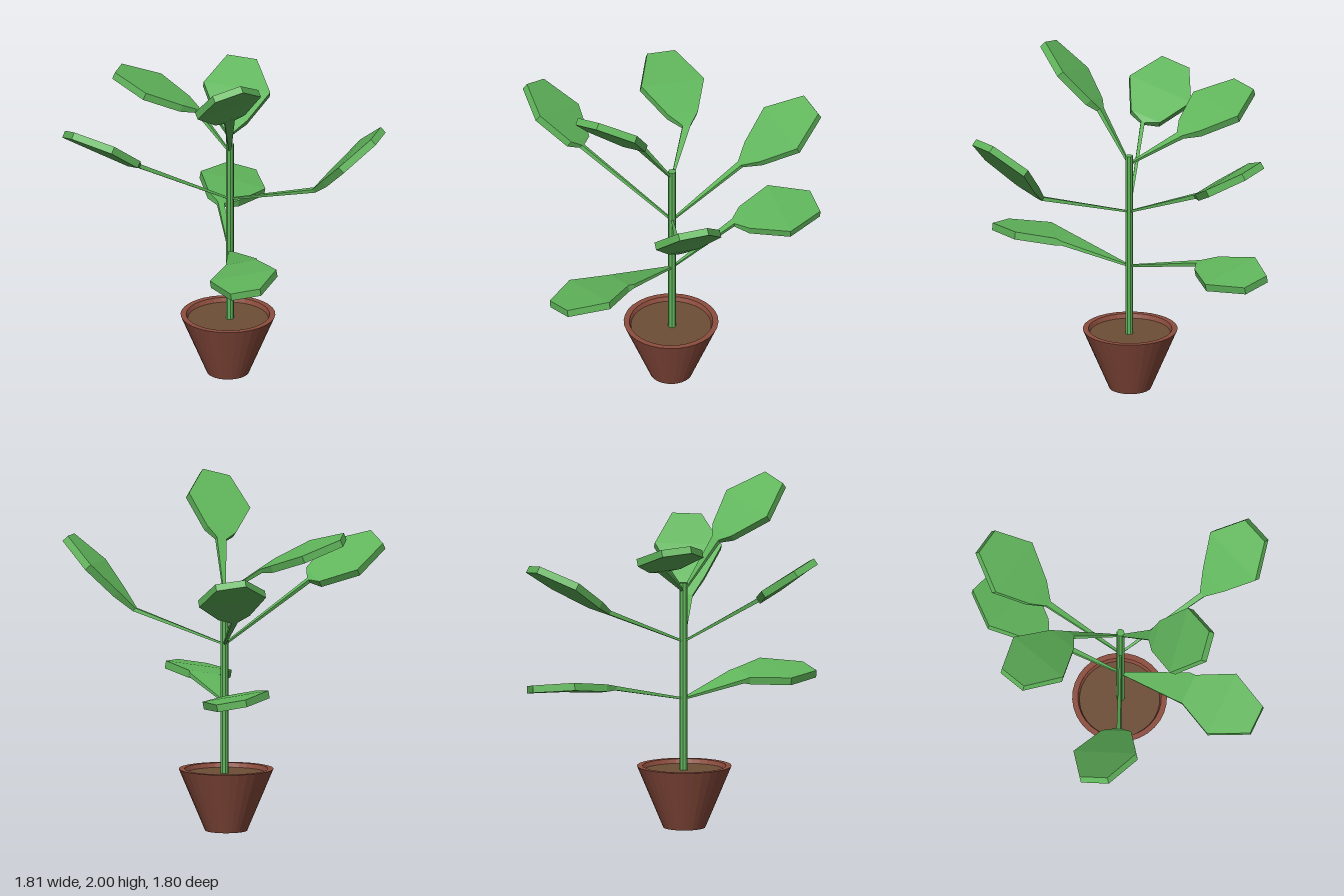
import * as THREE from 'three';

const mat = (name, color, extra = {}) => {
  const m = new THREE.MeshStandardMaterial({ color, flatShading: true, ...extra });
  m.name = name;
  return m;
};

const V = (p) => new THREE.Vector3(...p);
const STEM = { x: 0.08, z: 0.045 };

// Each leaf: height on the stem, neck of the blade, tip of the blade,
// direction across the blade, half width of the neck
const LEAVES = [
  { name: 'lowerFrontLeaf', y: 0.74, neck: [0.09, 0.83, 0.42], tip: [0.04, 0.835, 0.885], across: [0.37, 0.06, 0.04], neckWidth: 0.09 },
  { name: 'lowerBackLeaf', y: 0.74, neck: [0.1, 0.84, -0.41], tip: [0.29, 0.85, -0.87], across: [0.35, -0.07, 0.13], neckWidth: 0.02 },
  { name: 'middleBackLeaf', y: 1.07, neck: [0.15, 1.27, -0.42], tip: [0.29, 1.54, -0.85], across: [0.36, -0.04, 0.065], neckWidth: 0.018 },
  { name: 'middleRightLeaf', y: 1.07, neck: [-0.47, 1.39, 0.235], tip: [-0.88, 1.61, 0.233], across: [0.055, 0.13, 0.36], neckWidth: 0.012 },
  { name: 'middleLeftLeaf', y: 1.07, neck: [0.515, 1.24, 0.385], tip: [0.85, 1.64, 0.59], across: [0.17, 0, -0.36], neckWidth: 0.016 },
  { name: 'upperBackLeaf', y: 1.36, neck: [-0.07, 1.525, -0.205], tip: [-0.5, 1.71, -0.4], across: [0.15, -0.04, -0.36], neckWidth: 0.025 },
  { name: 'upperFrontLeaf', y: 1.36, neck: [0.045, 1.645, 0.245], tip: [-0.02, 1.965, 0.61], across: [0.37, 0.09, -0.04], neckWidth: 0.03 },
];

// Stalk and blade as one loft of flat rectangular cross-sections
function leafGeometry({ y, neck, tip, across, neckWidth }) {
  const N = V(neck), T = V(tip);
  const along = T.clone().sub(N).normalize();
  const side = V(across);
  side.addScaledVector(along, -side.dot(along)).normalize();
  const up = along.clone().cross(side);
  if (up.y < 0) { side.negate(); up.negate(); }

  const onBlade = (back, lift = 0) => T.clone().addScaledVector(along, -back).addScaledVector(up, lift);
  const sections = [
    { c: new THREE.Vector3(STEM.x, y, STEM.z), w: 0.006, h: 0.006 },
    { c: N, w: neckWidth, h: 0.012 },
    { c: onBlade(0.43), w: 0.09, h: 0.021 },
    { c: onBlade(0.22, 0.008), w: 0.192, h: 0.022 },
    { c: onBlade(0), w: 0.085, h: 0.021 },
  ];

  const corners = [[-1, -1], [1, -1], [1, 1], [-1, 1]];
  const pos = [], index = [];
  for (const { c, w, h } of sections) {
    for (const [i, j] of corners) {
      const p = c.clone().addScaledVector(side, i * w).addScaledVector(up, j * h);
      pos.push(p.x, p.y, p.z);
    }
  }
  const quad = (a, b, c, d) => index.push(a, b, c, a, c, d);
  for (let s = 0; s < sections.length - 1; s++) {
    for (let k = 0; k < 4; k++) {
      const a = s * 4 + k, b = s * 4 + (k + 1) % 4;
      quad(a, b, b + 4, a + 4);
    }
  }
  const last = (sections.length - 1) * 4;
  quad(3, 2, 1, 0);
  quad(last, last + 1, last + 2, last + 3);

  const geo = new THREE.BufferGeometry();
  geo.setAttribute('position', new THREE.Float32BufferAttribute(pos, 3));
  geo.setIndex(index);
  const flat = geo.toNonIndexed();
  flat.computeVertexNormals();
  return flat;
}

export function createModel() {
  const model = new THREE.Group();
  model.name = 'pottedPlant';
  const green = mat('leafGreen', 0x60b55b);
  const clay = mat('terracotta', 0x8c4d3e);
  const earth = mat('soilBrown', 0x6e4e36);

  const add = (name, geo, material, x = 0, y = 0, z = 0) => {
    const mesh = new THREE.Mesh(geo, material);
    mesh.name = name;
    mesh.position.set(x, y, z);
    model.add(mesh);
  };

  // Tapered pot with an open rim
  const profile = [[0, 0], [0.12, 0], [0.27, 0.355], [0.238, 0.355], [0.225, 0.32]]
    .map(([r, h]) => new THREE.Vector2(r, h));
  add('pot', new THREE.LatheGeometry(profile, 32), clay, 0.07, 0, 0.043);

  // Soil disc just below the rim
  add('soil', new THREE.CylinderGeometry(0.229, 0.225, 0.01, 32), earth, 0.07, 0.325, 0.043);

  // Straight stem
  add('stem', new THREE.CylinderGeometry(0.023, 0.023, 1.09, 8), green, STEM.x, 0.865, STEM.z);

  for (const leaf of LEAVES) add(leaf.name, leafGeometry(leaf), green);
  return model;
}
